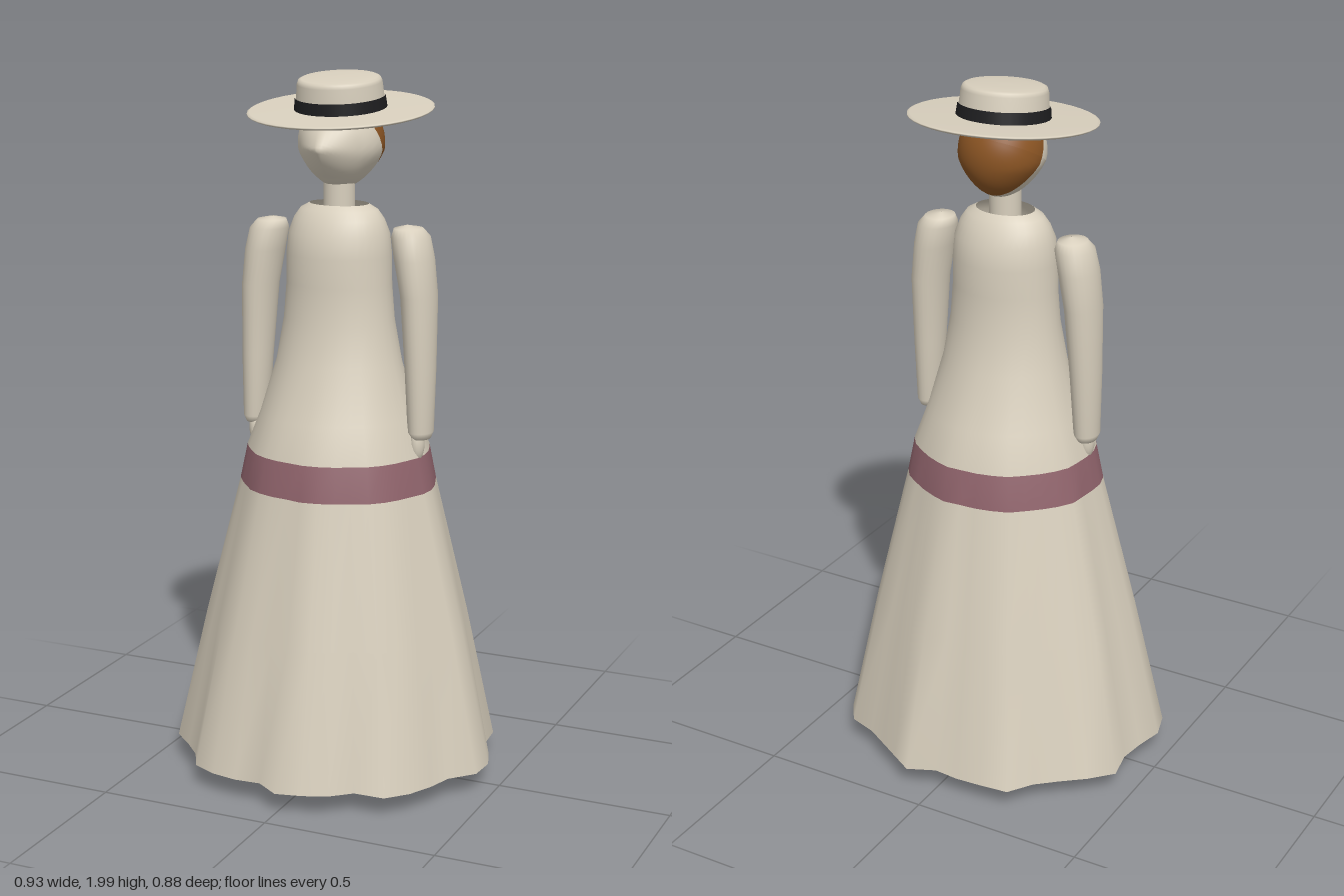
import * as THREE from 'three';

const cream = new THREE.MeshStandardMaterial({ color: 0xd8cfbd, side: THREE.DoubleSide });
cream.name = 'cream';
const mauve = new THREE.MeshStandardMaterial({ color: 0x8f636b, side: THREE.DoubleSide });
mauve.name = 'mauve';
const brown = new THREE.MeshStandardMaterial({ color: 0x8a5423 });
brown.name = 'hair brown';
const black = new THREE.MeshStandardMaterial({ color: 0x1e1e20 });
black.name = 'black';

function part(parent, name, geometry, material, x = 0, y = 0, z = 0) {
  const mesh = new THREE.Mesh(geometry, material);
  mesh.name = name;
  mesh.position.set(x, y, z);
  parent.add(mesh);
  return mesh;
}

// Rings [y, centreX, centreZ, radiusX, radiusZ] from bottom to top, joined into a skin.
// ripple(i, y) scales each ring point; materialOf(j) picks the material for a row.
function loft(rings, n, ripple = () => 1, materialOf = () => 0) {
  const pos = [], index = [];
  for (const [y, cx, cz, rx, rz] of rings) {
    for (let i = 0; i < n; i++) {
      const a = (i / n) * Math.PI * 2, k = ripple(i, y);
      pos.push(cx + Math.cos(a) * rx * k, y, cz + Math.sin(a) * rz * k);
    }
  }
  const g = new THREE.BufferGeometry();
  for (let j = 0; j < rings.length - 1; j++) {
    g.addGroup(index.length, n * 6, materialOf(j));
    for (let i = 0; i < n; i++) {
      const a = j * n + i, b = j * n + (i + 1) % n;
      index.push(a, a + n, b, b, a + n, b + n);
    }
  }
  g.setAttribute('position', new THREE.Float32BufferAttribute(pos, 3));
  g.setIndex(index);
  g.computeVertexNormals();
  return g;
}

// Irregular hem radii every 10 degrees, from the left side round through the front
const hem = [
  .465, .466, .425, .434, .445, .447, .398, .418, .427, .437, .396, .42,
  .44, .453, .43, .441, .474, .476, .45, .446, .485, .458, .435, .43,
  .46, .433, .418, .405, .446, .424, .416, .421, .459, .457, .429, .444,
];

// Half of the head: the shell is cut along a tilted plane, hair behind and face in front
function halfHead(isFace) {
  const g = new THREE.SphereGeometry(1, 40, 24, 0, Math.PI * 2, 0, Math.PI / 2);
  g.rotateX(THREE.MathUtils.degToRad(isFace ? 119 : -61));
  g.scale(.12, .125, .12);
  const p = g.attributes.position;
  for (let i = 0; i < p.count; i++) {
    const x = p.getX(i), y = p.getY(i), z = p.getZ(i);
    p.setX(i, x * (1 + 2.5 * Math.min(0, y + .02))); // narrower jaw
    if (isFace && z > 0) { // pointed nose
      const pull = Math.max(0, 1 - Math.abs(x) / .09) * Math.max(0, 1 - Math.abs(y + .005) / .085);
      p.setZ(i, z + .045 * pull);
    }
  }
  g.computeVertexNormals();
  return g;
}

function lathe(points, segments = 40) {
  return new THREE.LatheGeometry(points.map(([r, y]) => new THREE.Vector2(r, y)), segments);
}

export function createModel() {
  const model = new THREE.Group();
  model.name = 'lady';

  // Long dress with a coloured band, open at hem and collar
  const dress = [
    [.06, 0, 0, .44, .44], [.45, 0, 0, .366, .355], [.85, 0, 0, .277, .264],
    [.95, 0, 0, .258, .247], [1.05, 0, 0, .222, .207], [1.2, 0, 0, .18, .153],
    [1.32, 0, 0, .159, .13], [1.42, 0, 0, .151, .124], [1.5, 0, 0, .15, .126],
    [1.56, 0, 0, .145, .115], [1.6, 0, 0, .13, .096], [1.625, 0, 0, .112, .08],
    [1.64, 0, 0, .085, .064],
  ];
  const folds = (i, y) => 1 + (hem[i] / .44 - 1) * Math.max(0, (1.2 - y) / 1.14);
  part(model, 'dress', loft(dress, 36, folds, j => (j === 2 ? 1 : 0)), [cream, mauve]);

  // Arms, hands, legs and shoes
  const arm = [
    [1, .255, .012, .001, .001], [1.001, .255, .012, .025, .035], [1.02, .253, .012, .035, .045],
    [1.2, .249, .008, .042, .055], [1.4, .241, .003, .049, .068], [1.5, .226, .002, .054, .069],
    [1.56, .214, 0, .053, .063], [1.583, .207, 0, .04, .046], [1.592, .203, 0, .001, .001],
  ];
  for (const s of [1, -1]) {
    const side = s > 0 ? 'left' : 'right';
    const rings = arm.map(([y, cx, ...rest]) => [y, cx * s, ...rest]);
    part(model, side + 'Arm', loft(rings, 24), cream);
    part(model, side + 'Hand', new THREE.SphereGeometry(1, 16, 12), cream, .248 * s, .985, .025)
      .scale.set(.02, .048, .024);
    part(model, side + 'Leg', new THREE.CylinderGeometry(.065, .04, .6, 20), black, .09 * s, .36, -.01);
    part(model, side + 'Shoe', new THREE.SphereGeometry(1, 24, 16), black, .09 * s, .05, .036)
      .scale.set(.05, .05, .108);
  }

  // Neck and head
  part(model, 'neck', new THREE.CylinderGeometry(.044, .044, .2, 24), cream, 0, 1.64, 0);
  part(model, 'face', halfHead(true), cream, 0, 1.805, -.015);
  part(model, 'hair', halfHead(false), brown, 0, 1.805, -.015);

  // Tilted straw hat
  const hat = new THREE.Group();
  hat.name = 'hat';
  hat.position.set(0, 1.895, -.01);
  hat.rotation.x = THREE.MathUtils.degToRad(5.9);
  model.add(hat);
  part(hat, 'brim', lathe([[.11, -.005], [.25, -.005], [.257, -.001], [.257, .002], [.25, .005], [.11, .006]]), cream);
  part(hat, 'crown', lathe([[.124, 0], [.117, .075], [.113, .085], [.105, .089], [.06, .092], [0, .093]]), cream);
  part(hat, 'hatBand', new THREE.CylinderGeometry(.124, .128, .034, 40, 1, true), black, 0, .021, 0);

  return model;
}
